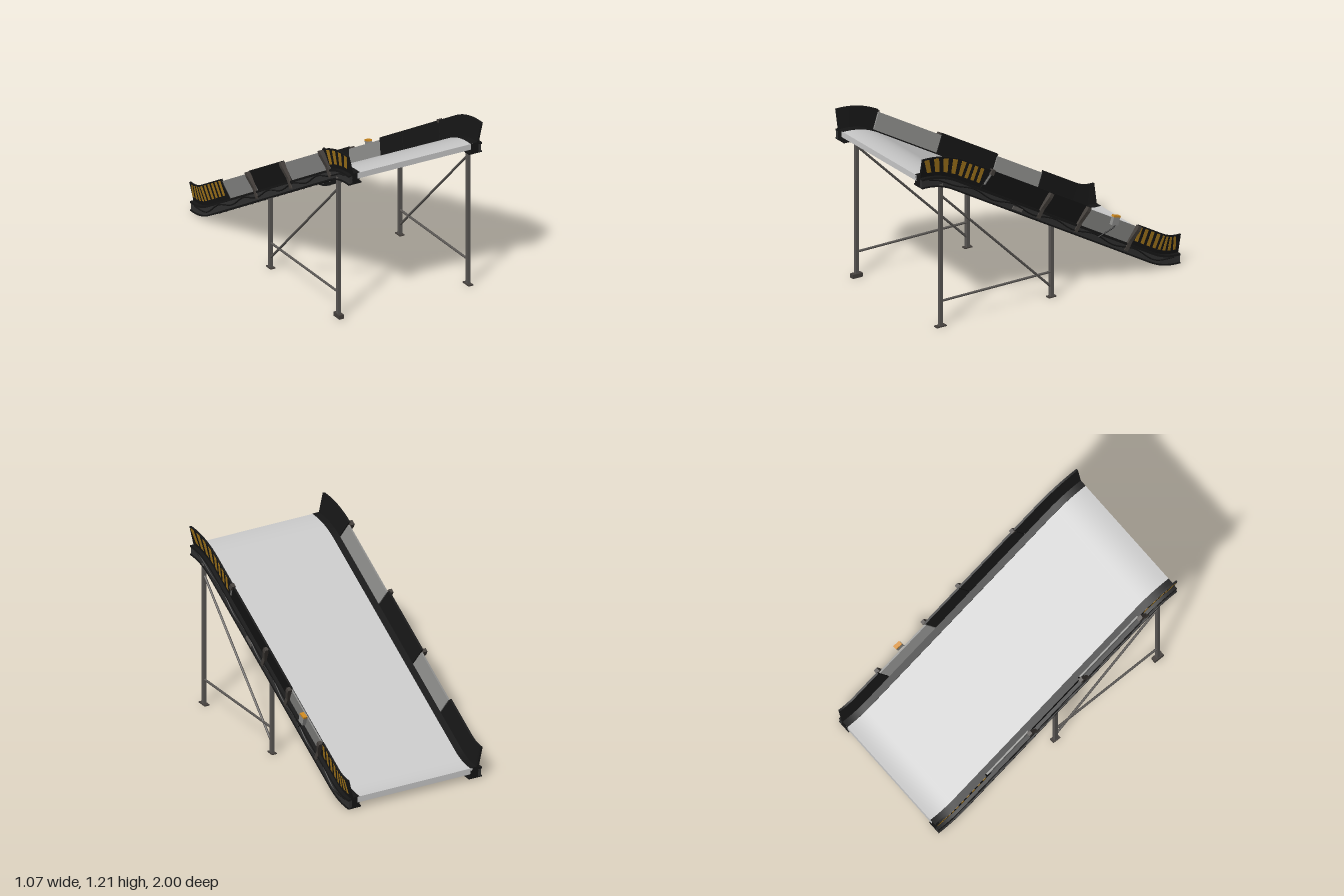
import * as THREE from 'three';

const mat = (color) => new THREE.MeshStandardMaterial({ color, roughness: 0.8 });
const M = {
  belt: mat(0xcccccc), black: mat(0x161616), channel: mat(0x303030), panel: mat(0x8c8c8a),
  steel: mat(0x5a5754), bracket: mat(0x45403c), yellow: mat(0xa87a1c), orange: mat(0xd08a20),
};

// S-shaped path of the conveyor: flat, arc, 30 degree slope, arc, flat
const FLAT = 0.016, R = 0.44, TILT = Math.PI / 6, ARC = R * TILT;
const HALF = FLAT + ARC + 0.764 / Math.cos(TILT), LEN = HALF * 2;
function frame(s) {
  if (s > HALF) {
    const f = frame(LEN - s);
    return { z: -f.z, y: 1 - f.y, a: f.a };
  }
  if (s <= FLAT) return { z: 1 - s, y: 1, a: 0 };
  const a = Math.min((s - FLAT) / R, TILT), rest = Math.max(0, s - FLAT - ARC);
  return {
    z: 1 - FLAT - R * Math.sin(a) - rest * Math.cos(TILT),
    y: 1 - R * (1 - Math.cos(a)) - rest * Math.sin(TILT), a,
  };
}
// point at path length s, height n above the underside, sideways x
function at(x, n, s) {
  const f = frame(THREE.MathUtils.clamp(s, 0, LEN));
  return new THREE.Vector3(x, f.y + n * Math.cos(f.a), f.z - n * Math.sin(f.a));
}
const slope = (z) => HALF - z / Math.cos(TILT); // path length at a z on the slope

// sweep a convex counter-clockwise profile of [x, n, shift] along the path
function sweep(profile, s0, s1, side = 1, segs = 24) {
  const pts = profile.map(([x, n, d = 0]) => [x * side, n, d]);
  if (side < 0) pts.reverse();
  const pos = [], idx = [];
  const put = (p, s) => pos.push(...at(p[0], p[1], s + p[2]).toArray());
  pts.forEach((a, i) => {
    const b = pts[(i + 1) % pts.length], base = pos.length / 3;
    for (let k = 0; k <= segs; k++) {
      const s = s0 + (s1 - s0) * k / segs;
      put(a, s); put(b, s);
      if (k < segs) {
        const o = base + k * 2;
        idx.push(o, o + 2, o + 3, o, o + 3, o + 1);
      }
    }
  });
  for (const end of [0, 1]) {
    const base = pos.length / 3;
    pts.forEach((p) => put(p, end ? s1 : s0));
    for (let i = 1; i < pts.length - 1; i++) {
      idx.push(base, base + (end ? i + 1 : i), base + (end ? i : i + 1));
    }
  }
  const g = new THREE.BufferGeometry();
  g.setAttribute('position', new THREE.Float32BufferAttribute(pos, 3));
  g.setIndex(idx);
  g.computeVertexNormals();
  return g;
}
const rect = (x0, x1, n0, n1) => [[x0, n0], [x1, n0], [x1, n1], [x0, n1]];

function add(parent, name, geo, material) {
  const m = new THREE.Mesh(geo, material);
  m.name = name;
  parent.add(m);
  return m;
}
function box(parent, name, w, h, d, x, y, z, material) {
  const m = add(parent, name, new THREE.BoxGeometry(w, h, d), material);
  m.position.set(x, y, z);
  return m;
}
// round bar between two points
function bar(parent, name, a, b, r, material) {
  const d = b.clone().sub(a);
  const m = add(parent, name, new THREE.CylinderGeometry(r, r, d.length(), 10), material);
  m.position.copy(a).addScaledVector(d, 0.5);
  m.quaternion.setFromUnitVectors(new THREE.Vector3(0, 1, 0), d.normalize());
}

// outward leaning guard plate
const GUARD = [[0.46, 0.07], [0.474, 0.07], [0.505, 0.207], [0.491, 0.207]];
const LOW_GUARD = [[0.46, 0.07], [0.472, 0.07], [0.499, 0.192], [0.488, 0.192]];
const outer = (n) => 0.474 + (n - 0.07) * 0.031 / 0.137;

function stripes(parent, side, s0, s1) {
  const pitch = 0.053, lo = 0.098, hi = 0.198, skew = 0.03;
  const profile = [
    [outer(lo) - 0.002, lo, skew], [outer(lo) + 0.002, lo, skew],
    [outer(hi) + 0.002, hi, 0], [outer(hi) - 0.002, hi, 0],
  ];
  for (let s = s0 + 0.012; s + 0.027 + skew < s1; s += pitch) {
    add(parent, 'warningStripe', sweep(profile, s, s + 0.027, side, 2), M.yellow);
  }
}

function guards(parent, side) {
  const joints = side > 0
    ? [0, slope(0.57), slope(0.11), slope(-0.18), slope(-0.57), LEN]
    : [0, slope(0.77), slope(0.28), slope(-0.15), slope(-0.5), LEN];
  const kinds = side > 0
    ? ['striped', 'black', 'black', 'panel', 'striped']
    : ['striped', 'panel', 'black', 'panel', 'striped'];
  kinds.forEach((kind, i) => {
    const s0 = joints[i] + (i ? 0.003 : 0), s1 = joints[i + 1] - (i < 4 ? 0.003 : 0);
    const grey = kind === 'panel';
    add(parent, grey ? 'greyPanel' : 'sideGuard',
      sweep(grey ? LOW_GUARD : GUARD, s0, s1, side), grey ? M.panel : M.black);
    if (kind === 'striped') stripes(parent, side, s0, s1);
  });
  // joint brackets that lean outwards
  const arm = [[0.478, 0.02], [0.498, 0.02], [0.503, 0.09], [0.528, 0.175], [0.528, 0.203], [0.5, 0.203]];
  for (const j of side > 0 ? [2, 3, 4] : [1, 2, 3]) {
    add(parent, 'guardBracket', sweep(arm, joints[j] - 0.014, joints[j] + 0.014, side, 1), M.bracket);
  }
}

function rail(parent, side) {
  add(parent, 'railBeam', sweep(rect(0.415, 0.472, 0, 0.078), 0, LEN, side, 80), M.black);
  add(parent, 'outerChannel', sweep(rect(0.47, 0.492, 0.004, 0.06), 0, LEN, side, 80), M.channel);
  add(parent, 'lowerLip', sweep(rect(0.402, 0.498, 0, 0.01), 0, LEN, side, 80), M.black);
  add(parent, 'upperLip', sweep(rect(0.465, 0.498, 0.056, 0.07), 0, LEN, side, 80), M.black);
  // wavy cable along the channel
  const pts = [];
  for (let i = 0; i <= 36; i++) {
    pts.push(at(side * 0.493, 0.04 + 0.012 * Math.cos(i * Math.PI / 3), 0.05 + (LEN - 0.1) * i / 36));
  }
  add(parent, 'cable', new THREE.TubeGeometry(new THREE.CatmullRomCurve3(pts), 110, 0.005, 6), M.black);
  // bolts along the inner lip
  for (let i = 0; i < 24; i++) {
    const s = 0.05 + (LEN - 0.1) * i / 23;
    add(parent, 'bolt', sweep(rect(0.404, 0.412, -0.004, 0), s - 0.004, s + 0.004, side, 1), M.steel);
  }
}

function legFrame(parent, side) {
  const x = side * 0.483, P = (y, z) => new THREE.Vector3(x, y, z);
  box(parent, 'frontLeg', 0.024, 1.0, 0.024, x, 0.5, 0.85, M.steel);
  box(parent, 'middleLeg', 0.024, 0.5, 0.024, x, 0.25, -0.01, M.steel);
  bar(parent, 'horizontalBrace', P(0.177, 0.85), P(0.177, -0.01), 0.008, M.steel);
  bar(parent, 'diagonalBrace', P(0.92, 0.85), P(0.07, -0.01), 0.008, M.steel);
  const h = side < 0 ? 0.028 : 0.008;
  box(parent, 'frontFoot', 0.036, h, 0.075, x, h / 2, 0.85, M.bracket);
  box(parent, 'middleFoot', 0.036, 0.007, 0.06, x, 0.0035, -0.01, M.bracket);
}

export function createModel() {
  const model = new THREE.Group();
  model.name = 'inclinedConveyor';
  const body = new THREE.Group();
  body.name = 'conveyor';
  body.position.x = -0.008;
  model.add(body);

  add(body, 'belt', sweep(rect(-0.43, 0.43, 0.035, 0.075), 0, LEN, 1, 96), M.belt);

  for (const side of [1, -1]) {
    const half = new THREE.Group();
    half.name = side > 0 ? 'leftSide' : 'rightSide';
    body.add(half);
    rail(half, side);
    guards(half, side);
    legFrame(half, side);
  }

  // sensor clip at the end of the upper striped guard
  const s = slope(0.56);
  add(body, 'sensorStrip', sweep([[0.48, 0.1], [0.486, 0.1], [0.51, 0.2], [0.504, 0.2]], s - 0.006, s + 0.006, 1, 1), M.panel);
  add(body, 'sensorHead', sweep(rect(0.488, 0.516, 0.178, 0.215), s - 0.014, s + 0.014, 1, 1), M.bracket);
  add(body, 'namePlate', sweep(rect(0.49, 0.499, 0.018, 0.04), slope(0.31), slope(0.24), 1, 1), M.steel);

  // control box with orange lid on a bent arm
  const control = new THREE.Group();
  control.name = 'controlBox';
  control.position.set(0.527, 0.44, -0.475);
  control.rotation.x = -0.3;
  body.add(control);
  box(control, 'housing', 0.028, 0.055, 0.05, 0, -0.005, 0, M.panel);
  box(control, 'lid', 0.028, 0.012, 0.052, 0, 0.028, 0, M.orange);
  const V = (x, y, z) => new THREE.Vector3(x, y, z);
  bar(body, 'controlArm', V(0.535, 0.42, -0.475), V(0.535, 0.395, -0.46), 0.004, M.black);
  bar(body, 'controlArm', V(0.535, 0.395, -0.46), V(0.495, 0.335, -0.365), 0.004, M.black);

  return model;
}
